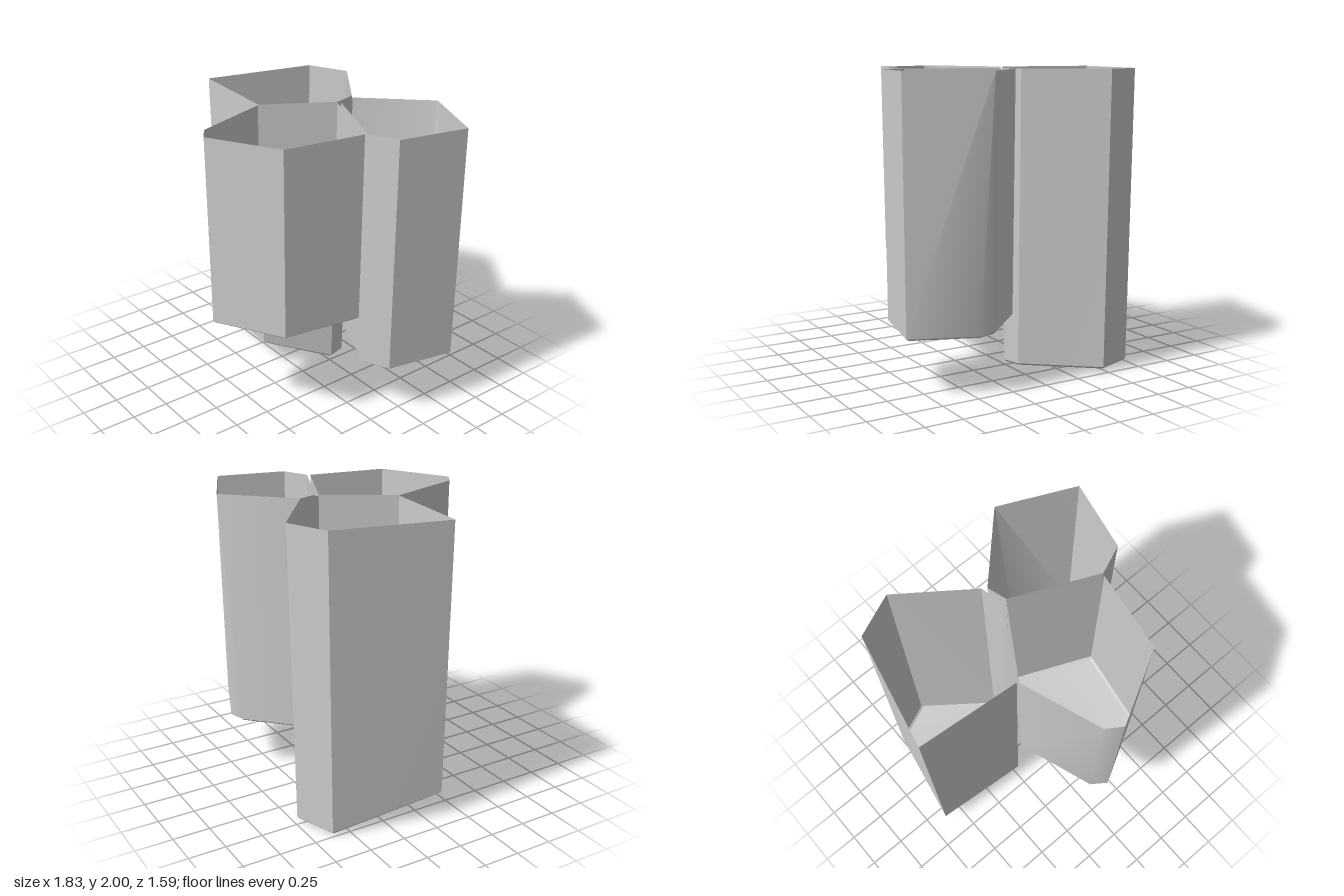
import * as THREE from 'three';
import { toCreasedNormals } from 'three/addons/utils/BufferGeometryUtils.js';

// Points are [x, y, z]; triangles are index triples
function surface(points, triangles) {
  const g = new THREE.BufferGeometry();
  g.setAttribute('position', new THREE.Float32BufferAttribute(points.flat(), 3));
  g.setIndex(triangles.flat());
  return toCreasedNormals(g, 0.65);
}

// Sheet joining closed rings, listed from top to bottom, each counter-clockwise from above
function loft(rings) {
  const n = rings[0].length, tris = [];
  for (let r = 0; r < rings.length - 1; r++) {
    for (let i = 0; i < n; i++) {
      const a = r * n + i, b = r * n + (i + 1) % n;
      tris.push([a, a + n, b], [b, a + n, b + n]);
    }
  }
  return surface(rings.flat(), tris);
}

// Plan outline [x, z] lifted to a height
const lift = (outline, y) => outline.map(([x, z]) => [x, y, z]);

// Ring pulled towards a centre [x, z] and lowered
const inset = (ring, [cx, cz], k, drop) =>
  ring.map(([x, y, z]) => [cx + (x - cx) * k, y - drop, cz + (z - cz) * k]);

export function createModel() {
  const grey = new THREE.MeshStandardMaterial({ color: 0xcccccc, side: THREE.DoubleSide });
  grey.name = 'lightGrey';
  const model = new THREE.Group();
  model.name = 'hollowColumns';

  function addColumn(name, parts) {
    const column = new THREE.Group();
    column.name = name;
    for (const [part, geometry] of Object.entries(parts)) {
      const mesh = new THREE.Mesh(geometry, grey);
      mesh.name = part;
      column.add(mesh);
    }
    model.add(column);
  }

  // Open-topped column with a softened rim and a shallow pointed floor
  function pointedColumn(name, top, bottom, y, apex) {
    const centre = [apex[0], apex[2]];
    const foot = lift(bottom, y);
    const bevel = inset(foot, centre, 0.96, 0.012);
    const n = bevel.length;
    addColumn(name, {
      walls: loft([lift(top, 2), foot]),
      rim: loft([foot, bevel]),
      floor: surface([...bevel, apex], bevel.map((_, i) => [(i + 1) % n, i, n])),
    });
  }

  // Front column, shortest
  const frontTop = [[-0.23, 0.19], [-0.045, 0.72], [0.06, 0.79], [0.52, 0.54], [0.61, 0], [0.045, -0.25]];
  const frontFoot = [[-0.22, 0.19], [-0.04, 0.71], [0.06, 0.78], [0.51, 0.53], [0.6, 0], [0.045, -0.24]];
  pointedColumn('frontColumn', frontTop, frontFoot, 0.73, [0.16, 0.68, 0.33]);

  // Back column: one back corner widens into a facet lower down
  const backTop = [[0.02, -0.4], [0.06, -0.27], [0.62, -0.02], [0.81, -0.1], [0.91, -0.57], [0.41, -0.8], [0.41, -0.8]];
  const backFoot = [[0.03, -0.39], [0.065, -0.275], [0.62, -0.025], [0.8, -0.105], [0.9, -0.57], [0.48, -0.74], [0.36, -0.71]];
  pointedColumn('backColumn', backTop, backFoot, 0.395, [0.47, 0.35, -0.37]);

  // Tall column with a slanted, folded floor
  const tallTop = [[-0.92, 0.12], [-0.24, 0.18], [0.03, -0.26], [-0.01, -0.42], [-0.47, -0.76], [-0.75, -0.64]];
  const tallFoot = [
    [-0.89, 0.18, 0.11], [-0.24, 0.2, 0.17], [0.01, 0.045, -0.26],
    [-0.02, 0.045, -0.38], [-0.47, 0.04, -0.73], [-0.74, 0.03, -0.62],
  ];
  const tallBevel = inset(tallFoot, [-0.45, -0.25], 0.97, 0.013);
  const folds = [[-0.58, 0.15, -0.08], [-0.41, 0.005, -0.07], [-0.39, 0.045, -0.3]];
  const foldFaces = [
    [1, 0, 7], [7, 0, 6], [2, 1, 7], [8, 2, 7], [3, 2, 8],
    [4, 3, 8], [5, 4, 8], [5, 8, 6], [0, 5, 6], [6, 8, 7],
  ];
  addColumn('tallColumn', {
    walls: loft([lift(tallTop, 2), tallFoot]),
    rim: loft([tallFoot, tallBevel]),
    floor: surface([...tallBevel, ...folds], foldFaces),
  });

  return model;
}
